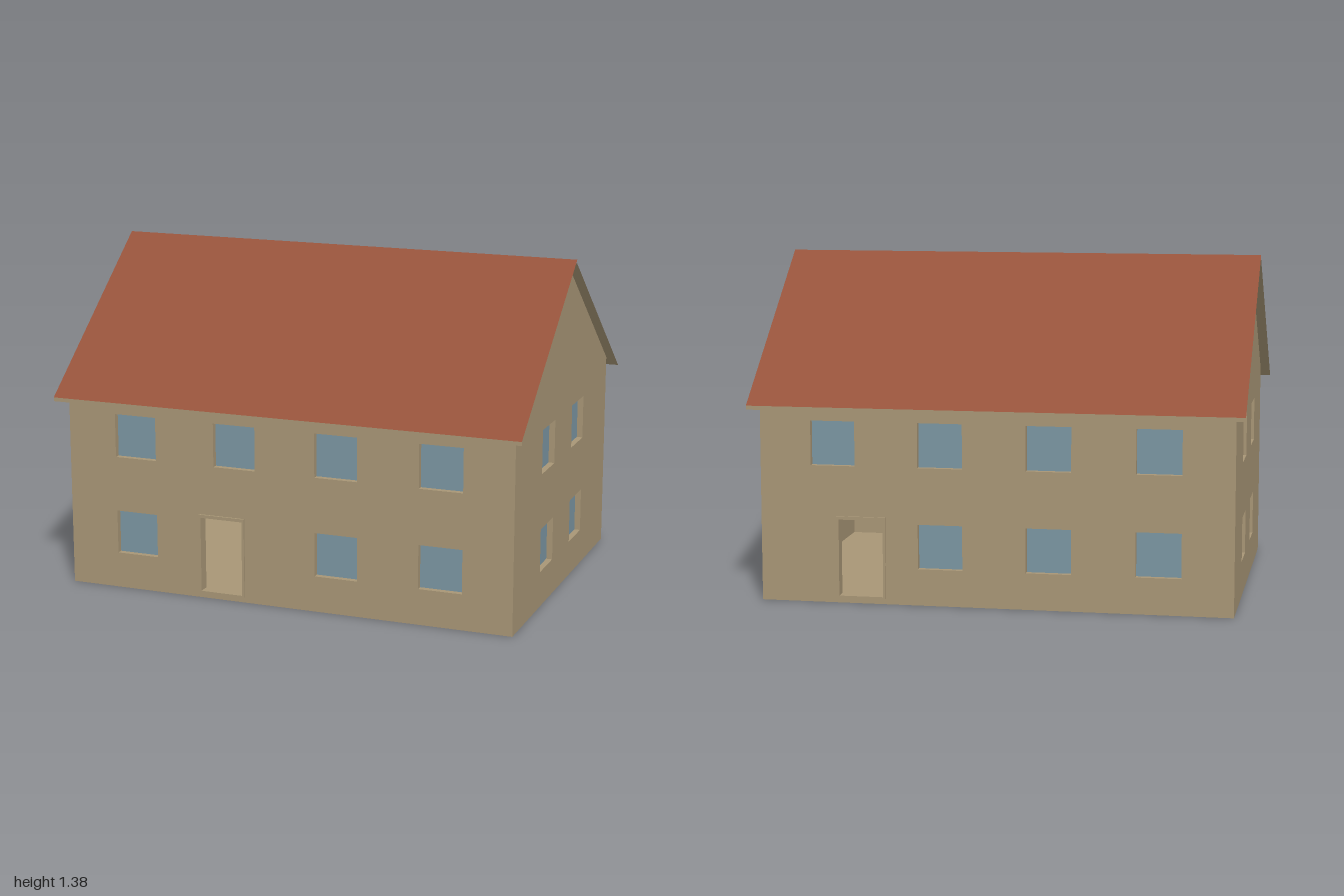
import * as THREE from 'three';

const HX = 0.96, HZ = 0.687;          // half size of the walls
const EAVE = 0.847, PEAK = 1.371;     // wall heights
const T = 0.04;                       // wall thickness
const WIN = 0.182, LOW = 0.24, HIGH = 0.652; // window size and row centres

const wallMat = new THREE.MeshStandardMaterial({ color: 0xa89676 });
wallMat.name = 'stone';
const roofMat = new THREE.MeshStandardMaterial({ color: 0x96533b });
roofMat.name = 'roofRed';
const glassMat = new THREE.MeshStandardMaterial({ color: 0x7b96a2 });
glassMat.name = 'glassBlue';

function add(parent, name, geometry, material, x = 0, y = 0, z = 0) {
  const mesh = new THREE.Mesh(geometry, material);
  mesh.name = name;
  mesh.position.set(x, y, z);
  parent.add(mesh);
  return mesh;
}

// Closed outline of a rectangle
function rect(Type, x0, y0, x1, y1) {
  const path = new Type();
  path.moveTo(x0, y0);
  path.lineTo(x1, y0);
  path.lineTo(x1, y1);
  path.lineTo(x0, y1);
  path.closePath();
  return path;
}

const extrude = (shape, depth) =>
  new THREE.ExtrudeGeometry(shape, { depth, bevelEnabled: false });

// Four corners, counter-clockwise seen from the front
function quad(...corners) {
  const g = new THREE.BufferGeometry();
  g.setAttribute('position', new THREE.Float32BufferAttribute(corners.flat(), 3));
  g.setIndex([0, 1, 2, 0, 2, 3]);
  g.computeVertexNormals();
  return g;
}

// A wall facing +z with its inner face at z = 0, window openings, panes and an optional door
function buildWall(name, shape, windows, doorX) {
  const wall = new THREE.Group();
  wall.name = name;
  const h = WIN / 2;
  for (const [x, y] of windows) {
    shape.holes.push(rect(THREE.Path, x - h, y - h, x + h, y + h));
    add(wall, 'windowPane', new THREE.BoxGeometry(WIN, WIN, 0.008), glassMat, x, y, T - 0.029);
  }
  if (doorX !== undefined) {
    // Open doorway lined by a thin projecting frame
    shape.holes.push(rect(THREE.Path, doorX - 0.1, 0.024, doorX + 0.1, 0.355));
    const frame = rect(THREE.Shape, doorX - 0.101, 0.023, doorX + 0.101, 0.356);
    frame.holes.push(rect(THREE.Path, doorX - 0.091, 0.03, doorX + 0.091, 0.343));
    add(wall, 'doorFrame', extrude(frame, T + 0.008), wallMat);
  }
  add(wall, 'wallPanel', extrude(shape, T), wallMat);
  return wall;
}

export function createModel() {
  const house = new THREE.Group();
  house.name = 'house';

  // Long walls: four windows above, three windows and a doorway below
  const columns = [-0.66, -0.22, 0.22, 0.66];
  const longWalls = [
    { name: 'frontWall', side: 1, low: [-0.66, 0.22, 0.66], door: -0.278 },
    { name: 'backWall', side: -1, low: [-0.22, 0.22, 0.66], door: -0.545 },
  ];
  for (const { name, side, low, door } of longWalls) {
    const windows = [...columns.map((x) => [x, HIGH]), ...low.map((x) => [x, LOW])];
    const shape = rect(THREE.Shape, -HX + T, 0, HX - T, EAVE - 0.008);
    const wall = buildWall(name, shape, windows, door);
    wall.position.z = side * (HZ - T);
    wall.rotation.y = side > 0 ? 0 : Math.PI;
    house.add(wall);
  }

  // Gable walls with two windows on each storey
  for (const side of [1, -1]) {
    const shape = new THREE.Shape();
    shape.moveTo(-HZ, 0);
    shape.lineTo(HZ, 0);
    shape.lineTo(HZ, EAVE);
    shape.lineTo(0, PEAK);
    shape.lineTo(-HZ, EAVE);
    shape.closePath();
    const windows = [-0.22, 0.22].flatMap((x) => [[x, LOW], [x, HIGH]]);
    const wall = buildWall(side > 0 ? 'leftGable' : 'rightGable', shape, windows);
    wall.position.x = side * (HX - T);
    wall.rotation.y = side * Math.PI / 2;
    house.add(wall);
  }

  // Floors inside
  const slab = new THREE.BoxGeometry(2 * (HX - T), 0.02, 2 * (HZ - T));
  add(house, 'groundFloor', slab, wallMat, 0, 0.01, 0);
  add(house, 'upperFloor', slab, wallMat, 0, 0.445, 0);
  add(house, 'atticFloor', slab, wallMat, 0, 0.825, 0);

  // Roof: tiled slope, plain underside and eave strip on each side
  const rz = 0.745, ridge = 1.382, eave = 0.805, drop = 0.016;
  for (const side of [1, -1]) {
    const slope = new THREE.Group();
    slope.name = side > 0 ? 'frontRoof' : 'backRoof';
    slope.rotation.y = side > 0 ? 0 : Math.PI;
    add(slope, 'roofTiles',
      quad([-1, eave, rz], [1, eave, rz], [1, ridge, 0], [-1, ridge, 0]), roofMat);
    add(slope, 'roofUnderside', quad([-1, ridge - drop, 0], [1, ridge - drop, 0],
      [1, eave - drop, rz], [-1, eave - drop, rz]), wallMat);
    add(slope, 'eaveStrip', quad([-1, eave - drop, rz], [1, eave - drop, rz],
      [1, eave, rz], [-1, eave, rz]), wallMat);
    house.add(slope);
  }
  return house;
}
